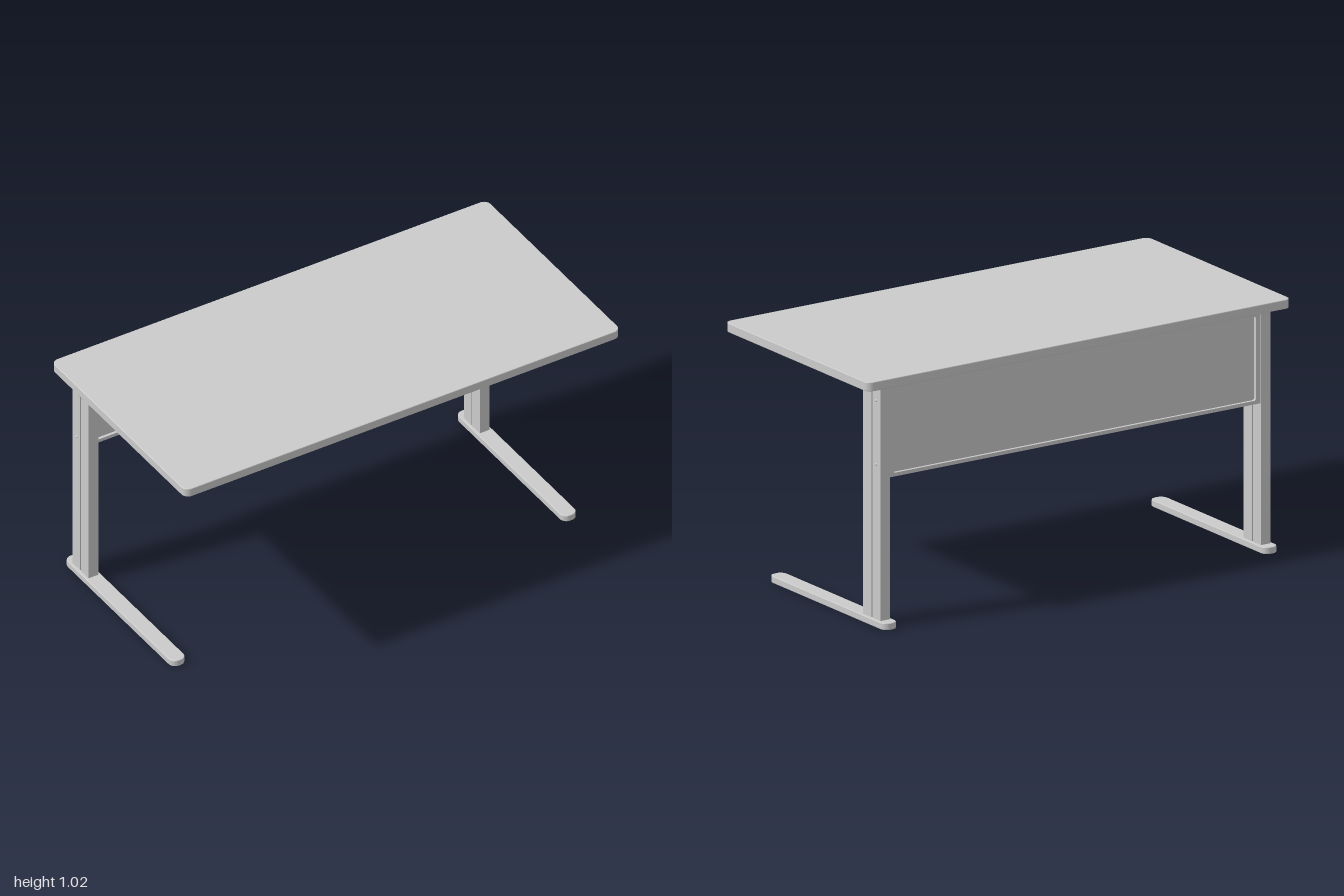
import * as THREE from 'three';

const grey = new THREE.MeshStandardMaterial({ color: 0xcccccc });

function add(parent, name, geometry, x = 0, y = 0, z = 0) {
  const mesh = new THREE.Mesh(geometry, grey);
  mesh.name = name;
  mesh.position.set(x, y, z);
  parent.add(mesh);
  return mesh;
}

// Box given by its limits on each axis
function block(parent, name, [x0, x1], [y0, y1], [z0, z1]) {
  return add(parent, name, new THREE.BoxGeometry(x1 - x0, y1 - y0, z1 - z0),
    (x0 + x1) / 2, (y0 + y1) / 2, (z0 + z1) / 2);
}

function roundedRect(w, h, r, Type = THREE.Shape) {
  const s = new Type();
  s.absarc(w / 2 - r, h / 2 - r, r, 0, Math.PI / 2);
  s.absarc(-w / 2 + r, h / 2 - r, r, Math.PI / 2, Math.PI);
  s.absarc(-w / 2 + r, -h / 2 + r, r, Math.PI, Math.PI * 1.5);
  s.absarc(w / 2 - r, -h / 2 + r, r, Math.PI * 1.5, Math.PI * 2);
  s.closePath();
  return s;
}

// Horizontal slab with rounded corners in plan and finely eased edges, base at y = 0
function slab(w, d, h, r, ease) {
  const shape = roundedRect(w - 2 * ease, d - 2 * ease, r - ease);
  const g = new THREE.ExtrudeGeometry(shape, {
    depth: h - 2 * ease, bevelThickness: ease, bevelSize: ease, bevelSegments: 2, curveSegments: 10,
  });
  return g.rotateX(-Math.PI / 2).translate(0, ease, 0);
}

function buildSide(side) {
  const group = new THREE.Group();
  group.name = side > 0 ? 'leftLegFrame' : 'rightLegFrame';
  const cx = side * 0.898;

  add(group, 'foot', slab(0.068, 0.805, 0.028, 0.03, 0.003), cx, 0, -0.1025);

  // Column: two profiles with a narrow recessed seam between them
  const height = [0.028, 0.982];
  block(group, 'columnFront', [cx - 0.022, cx + 0.022], height, [-0.398, -0.34]);
  block(group, 'columnBack', [cx - 0.022, cx + 0.022], height, [-0.46, -0.403]);
  block(group, 'columnSeam', [cx - 0.018, cx + 0.018], height, [-0.404, -0.397]);

  // Support arm under the top, its front end curving up
  const arm = new THREE.Shape();
  arm.moveTo(0.342, 0.968);
  arm.lineTo(-0.16, 0.968);
  arm.quadraticCurveTo(-0.178, 0.969, -0.18, 0.983);
  arm.lineTo(0.342, 0.983);
  arm.closePath();
  const armGeometry = new THREE.ExtrudeGeometry(arm, { depth: 0.038, bevelEnabled: false });
  armGeometry.translate(0, 0, -0.019).rotateY(Math.PI / 2);
  add(group, 'supportArm', armGeometry, cx);

  // Domed screw heads on the outer face
  for (const y of [0.66, 0.92]) {
    const screw = add(group, 'screw', new THREE.SphereGeometry(0.006, 12, 8), side * 0.92, y, -0.43);
    screw.scale.x = 0.7;
  }
  return group;
}

export function createModel() {
  const desk = new THREE.Group();
  desk.name = 'desk';

  add(desk, 'top', slab(2, 0.996, 0.038, 0.03, 0.003), 0, 0.982, 0.007);
  for (const side of [-1, 1]) desk.add(buildSide(side));

  // Modesty panel: a rim around a sheet recessed on both faces
  const panel = new THREE.Group();
  panel.name = 'modestyPanel';
  const rim = roundedRect(1.754, 0.375, 0.002);
  rim.holes.push(roundedRect(1.71, 0.345, 0.008, THREE.Path));
  add(panel, 'panelRim', new THREE.ExtrudeGeometry(rim, { depth: 0.04, bevelEnabled: false, curveSegments: 5 }),
    0, 0.7925, -0.455);
  block(panel, 'panelSheet', [-0.86, 0.86], [0.615, 0.97], [-0.443, -0.427]);
  desk.add(panel);

  return desk;
}
